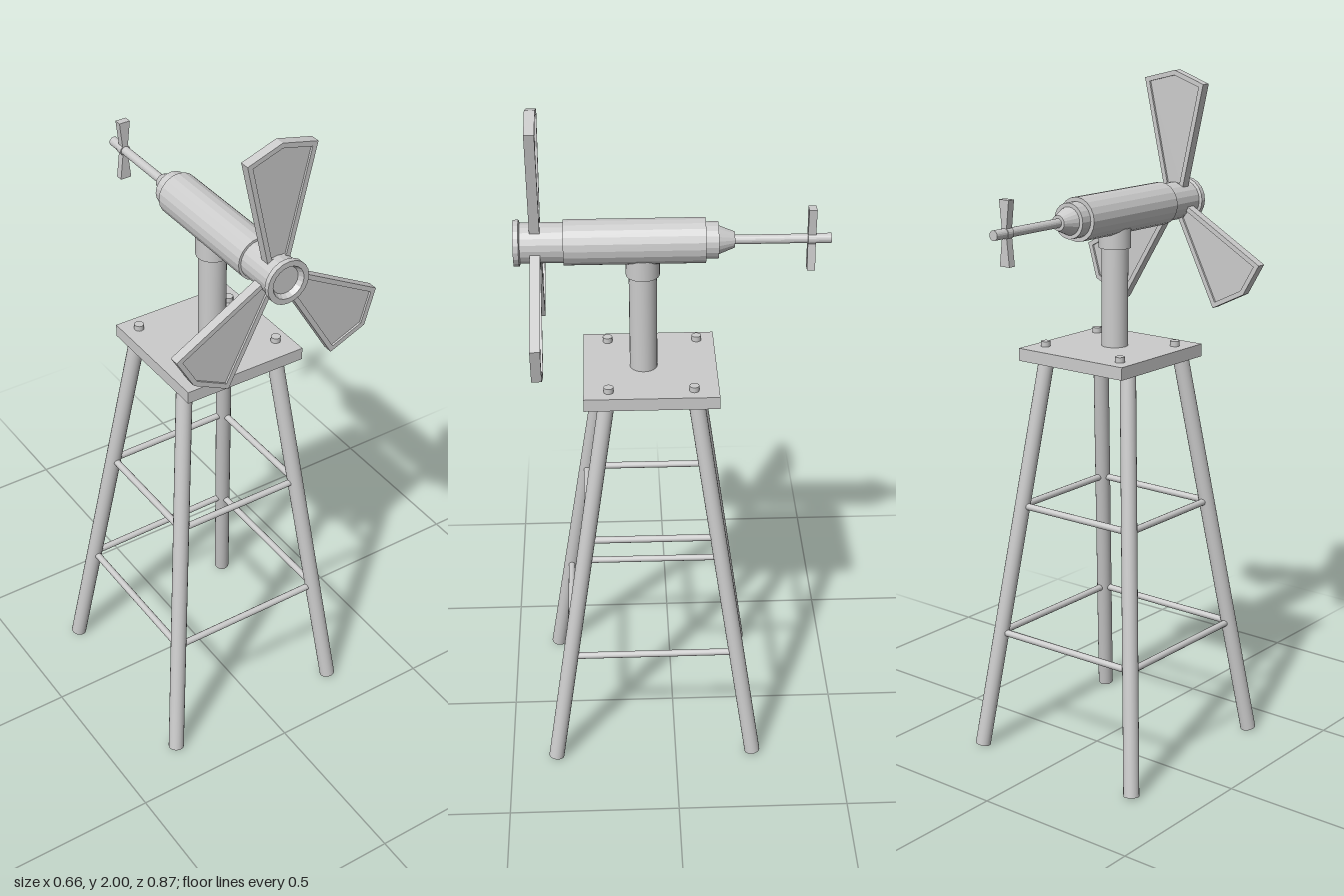
import * as THREE from 'three';

const smooth = new THREE.MeshStandardMaterial({ color: 0xcccccc });
const flat = new THREE.MeshStandardMaterial({ color: 0xcccccc, flatShading: true });
const V = (x, y, z) => new THREE.Vector3(x, y, z);

function add(parent, name, geometry, material = smooth) {
  const mesh = new THREE.Mesh(geometry, material);
  mesh.name = name;
  parent.add(mesh);
  return mesh;
}

// Round bar between two points
function bar(parent, name, a, b, radius, sides = 16) {
  const dir = b.clone().sub(a);
  const mesh = add(parent, name, new THREE.CylinderGeometry(radius, radius, dir.length(), sides));
  mesh.position.copy(a).lerp(b, 0.5);
  mesh.quaternion.setFromUnitVectors(V(0, 1, 0), dir.normalize());
  return mesh;
}

// Flat outline with thickness, centred on z = 0
function slab(shape, depth) {
  return new THREE.ExtrudeGeometry(shape, { depth, bevelEnabled: false }).translate(0, 0, -depth / 2);
}

const toShape = (pts) => new THREE.Shape(pts.map(([x, y]) => new THREE.Vector2(x, y)));

// Move each edge of a convex counter-clockwise outline inward by d
function inset(pts, d) {
  const n = pts.length;
  const edge = (i) => {
    const [ax, ay] = pts[i % n], [bx, by] = pts[(i + 1) % n];
    const l = Math.hypot(bx - ax, by - ay), dx = (bx - ax) / l, dy = (by - ay) / l;
    return { x: ax - dy * d, y: ay + dx * d, dx, dy };
  };
  return pts.map((_, i) => {
    const p = edge(i + n - 1), q = edge(i);
    const t = ((q.x - p.x) * q.dy - (q.y - p.y) * q.dx) / (p.dx * q.dy - p.dy * q.dx);
    return [p.x + p.dx * t, p.y + p.dy * t];
  });
}

// Four splayed legs joined by two rings of rails
function buildStand() {
  const stand = new THREE.Group();
  stand.name = 'stand';
  const legs = [
    [V(-0.308, 0.004, 0.366), V(-0.16, 1.2, 0.188)],
    [V(0.258, 0.004, 0.366), V(0.137, 1.2, 0.188)],
    [V(0.256, 0.004, -0.235), V(0.137, 1.2, -0.06)],
    [V(-0.308, 0.004, -0.225), V(-0.16, 1.2, -0.06)],
  ];
  legs.forEach(([foot, top]) => bar(stand, 'leg', foot, top, 0.023, 20));
  for (const y of [0.362, 0.754]) {
    const ring = legs.map(([foot, top]) => foot.clone().lerp(top, (y - foot.y) / (top.y - foot.y)));
    ring.forEach((p, i) => bar(stand, 'rail', p, ring[(i + 1) % 4], 0.01, 12));
  }
  return stand;
}

// Square plate, corner bolts and the post that carries the body
function buildPlatform() {
  const platform = new THREE.Group();
  platform.name = 'platform';
  add(platform, 'plate', new THREE.BoxGeometry(0.378, 0.037, 0.378)).position.set(0, 1.211, 0.064);
  for (const [x, z] of [[-0.143, -0.075], [0.147, -0.055], [-0.143, 0.183], [0.147, 0.183]]) {
    bar(platform, 'bolt', V(x, 1.22, z), V(x, 1.245, z), 0.014, 12);
  }
  bar(platform, 'post', V(0, 1.185, 0.082), V(0, 1.58, 0.082), 0.039, 24);
  bar(platform, 'postCollar', V(0, 1.517, 0.082), V(0, 1.575, 0.082), 0.047, 24);
  return platform;
}

// Stepped body turned along z, with a dished nose
function buildBody() {
  const profile = [
    [0, -0.435], [0.014, -0.435], [0.014, -0.392], [0.016, -0.392], [0.016, -0.37],
    [0.013, -0.37], [0.013, -0.17], [0.022, -0.17], [0.04, -0.125], [0.051, -0.125],
    [0.051, -0.09], [0.063, -0.09], [0.063, 0.298], [0.056, 0.298], [0.056, 0.415],
    [0.064, 0.418], [0.064, 0.433], [0.048, 0.433], [0.04, 0.418], [0, 0.418],
  ].map(([r, z]) => new THREE.Vector2(r, z));
  return new THREE.LatheGeometry(profile, 20).rotateX(Math.PI / 2);
}

// Three uneven blades, each a rim around a recessed panel
function buildBlades() {
  const blades = new THREE.Group();
  blades.name = 'blades';
  blades.position.z = 0.374;
  const outlines = [
    [[-0.034, 0.04], [0.034, 0.04], [0.108, 0.356], [0, 0.382], [-0.103, 0.346]],
    [[-0.018, -0.046], [-0.045, -0.008], [-0.31, -0.16], [-0.257, -0.252], [-0.15, -0.305]],
    [[0.048, -0.008], [0.02, -0.046], [0.183, -0.316], [0.293, -0.268], [0.325, -0.16]],
  ];
  for (const pts of outlines) {
    if (THREE.ShapeUtils.area(pts.map(([x, y]) => ({ x, y }))) < 0) pts.reverse();
    const inner = inset(pts, 0.014);
    const rim = toShape(pts);
    rim.holes.push(new THREE.Path(inner.map(([x, y]) => new THREE.Vector2(x, y))));
    const blade = new THREE.Group();
    blade.name = 'blade';
    add(blade, 'bladeRim', slab(rim, 0.028));
    add(blade, 'bladePanel', slab(toShape(inner), 0.016));
    blades.add(blade);
  }
  return blades;
}

export function createModel() {
  const model = new THREE.Group();
  model.name = 'windmill';
  model.add(buildStand(), buildPlatform());

  const head = new THREE.Group();
  head.name = 'head';
  head.position.y = 1.618;
  add(head, 'body', buildBody(), flat);
  head.add(buildBlades());

  // Small bow-tie tail rotor
  const tail = toShape([
    [-0.017, -0.09], [0.017, -0.09], [0.007, 0], [0.017, 0.09], [-0.017, 0.09], [-0.007, 0],
  ]);
  add(head, 'tailRotor', slab(tail, 0.022)).position.z = -0.381;

  model.add(head);
  return model;
}
